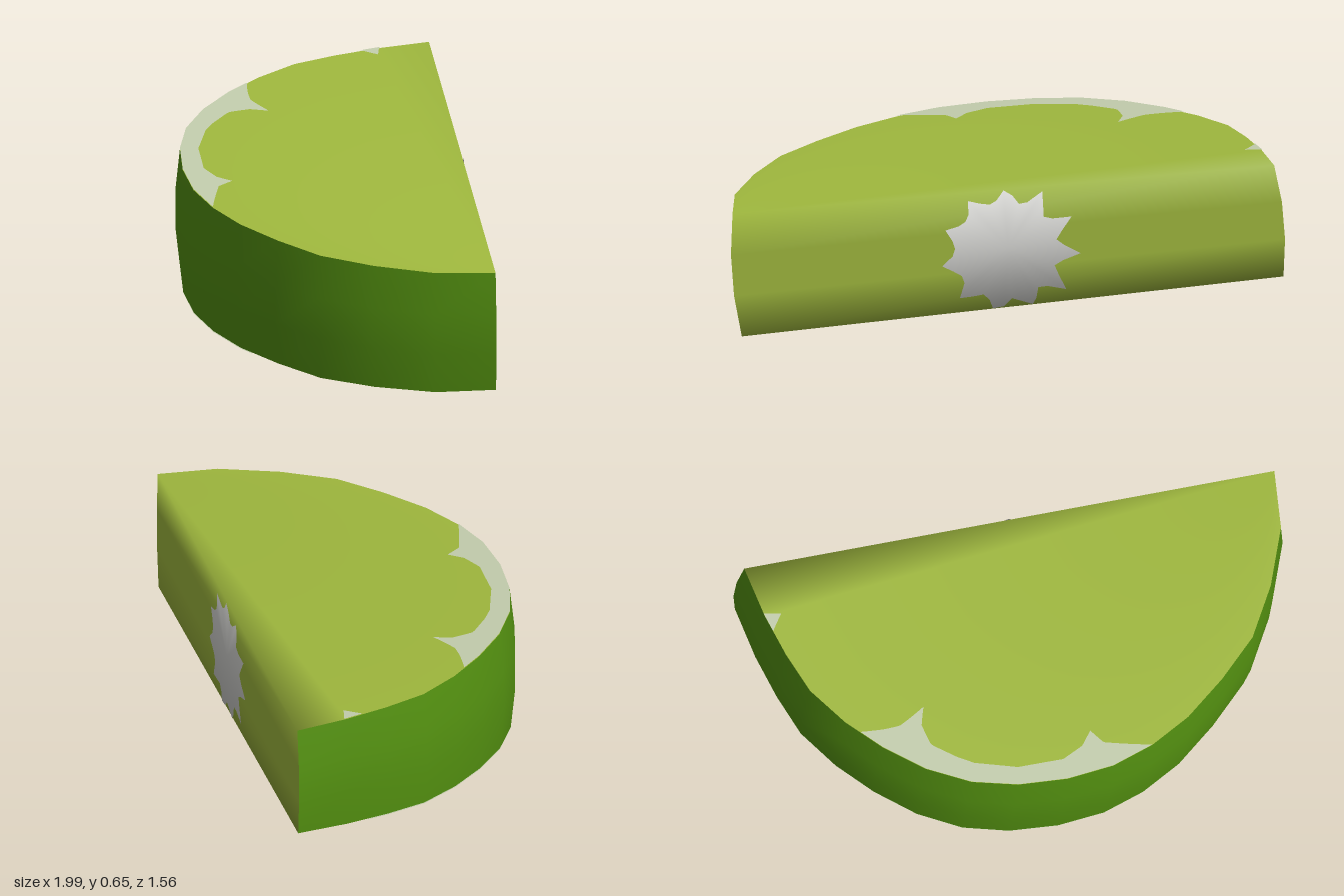
import * as THREE from 'three';

// Rim of the upper face, [x, z], from the back corner round to the right corner
const RIM = [
  [-0.835, -0.765], [-0.9, -0.57], [-0.94, -0.4], [-0.965, -0.23], [-0.945, -0.05], [-0.9, 0.12],
  [-0.83, 0.29], [-0.73, 0.44], [-0.6, 0.56], [-0.44, 0.66], [-0.27, 0.73], [-0.1, 0.76],
  [0.08, 0.76], [0.28, 0.725], [0.48, 0.67], [0.67, 0.555], [0.855, 0.4], [0.985, 0.21],
];
const LAST = RIM.length - 1, ROWS = 3;
const CENTRE = [0.08, -0.27];

// The two faces are tilted planes
const topY = (x, z) => 0.572 - 0.06 * x - 0.037 * z;
const bottomY = (x, z) => 0.088 - 0.06 * x - 0.085 * z;

// Point at rim position i, height fraction v (0 top, 1 bottom), moved inward by depth
function point(i, v, depth = 0) {
  const a = Math.min(Math.floor(i), LAST - 1), f = i - a;
  let x = THREE.MathUtils.lerp(RIM[a][0], RIM[a + 1][0], f);
  let z = THREE.MathUtils.lerp(RIM[a][1], RIM[a + 1][1], f);
  const dx = x - CENTRE[0], dz = z - CENTRE[1], r = Math.hypot(dx, dz);
  const out = 0.02 * 4 * v * (1 - v) - depth;
  x += (dx / r) * out - 0.028 * v;
  z += (dz / r) * out - 0.022 * v;
  return [x, THREE.MathUtils.lerp(topY(x, z), bottomY(x, z), v), z];
}

function geometry(positions, index) {
  const g = new THREE.BufferGeometry();
  g.setAttribute('position', new THREE.Float32BufferAttribute(positions, 3));
  g.setIndex(index);
  g.computeVertexNormals();
  return g;
}

// Scalloped strip lying on a face along the rim; profile holds [rim position, depth]
function pithBand(profile, top) {
  const positions = [], index = [];
  const from = profile[0][0], to = profile[profile.length - 1][0];
  const steps = Math.round((to - from) * 20);
  for (let s = 0; s <= steps; s++) {
    const i = from + ((to - from) * s) / steps;
    let k = 0;
    while (k < profile.length - 2 && profile[k + 1][0] < i) k++;
    const [i0, d0] = profile[k], [i1, d1] = profile[k + 1];
    const depth = THREE.MathUtils.mapLinear(i, i0, i1, d0, d1);
    for (const d of [0, depth]) {
      const p = point(i, top ? 0 : 1, d);
      p[1] += top ? 0.004 : -0.004;
      positions.push(...p);
    }
    if (s < steps) {
      const a = s * 2;
      if (top) index.push(a, a + 2, a + 3, a, a + 3, a + 1);
      else index.push(a, a + 3, a + 2, a, a + 1, a + 3);
    }
  }
  return geometry(positions, index);
}

// Jagged pale core in the middle of the cut face
function coreStar() {
  const b = point(0, 0.5), r = point(LAST, 0.5);
  const along = new THREE.Vector3(r[0] - b[0], 0, r[2] - b[2]).normalize();
  const normal = new THREE.Vector3(along.z, 0.06, -along.x).normalize();
  const e0 = point(0, 0), e1 = point(LAST, 0), e2 = point(0, 1), e3 = point(LAST, 1);
  const positions = [], normals = [], index = [];
  const add = (u, y) => {
    const t = 0.5 + u / 2.06;
    const hi = e0.map((c, k) => THREE.MathUtils.lerp(c, e1[k], t));
    const lo = e2.map((c, k) => THREE.MathUtils.lerp(c, e3[k], t));
    const v = THREE.MathUtils.clamp(0.5 - y / 0.475, 0.005, 0.995);
    hi.forEach((c, k) => positions.push(THREE.MathUtils.lerp(c, lo[k], v) + normal.getComponent(k) * 0.005));
    const n = normal.clone();
    n.y += 1.4 * (0.5 - v);
    normals.push(...n.normalize().toArray());
  };
  add(0, 0);
  const spikes = 11, count = spikes * 4;
  const radii = [0.265, 0.215, 0.195, 0.215];
  for (let k = 0; k < count; k++) {
    const a = (k / count) * Math.PI * 2 + Math.PI / 2;
    const rad = radii[k % 4] * (1 + 0.04 * Math.sin(k * 1.7));
    add(Math.cos(a) * rad, Math.sin(a) * rad - 0.01);
    index.push(0, 1 + ((k + 1) % count), 1 + k);
  }
  const g = geometry(positions, index);
  g.setAttribute('normal', new THREE.Float32BufferAttribute(normals, 3));
  return g;
}

export function createModel() {
  const group = new THREE.Group();
  group.name = 'citrusSlice';
  const material = (name, color) => {
    const m = new THREE.MeshStandardMaterial({ color, side: THREE.DoubleSide });
    m.name = name;
    return m;
  };
  const peelGreen = material('peelGreen', 0x539010);
  const fleshLime = material('fleshLime', 0xa0b93e);
  const pithCream = material('pithCream', 0xc4ceae);
  const coreWhite = material('coreWhite', 0xd2d2cf);
  const add = (name, g, m) => {
    const mesh = new THREE.Mesh(g, m);
    mesh.name = name;
    group.add(mesh);
  };

  // Grid of points shared by peel and flesh
  const grid = [];
  for (let r = 0; r <= ROWS; r++)
    for (let i = 0; i <= LAST; i++) grid.push(...point(i, r / ROWS));
  const id = (r, i) => r * (LAST + 1) + i;
  const quad = (list, r, a, b) => list.push(
    id(r + 1, a), id(r + 1, b), id(r, b), id(r + 1, a), id(r, b), id(r, a));

  // Peel: the bulging outer wall
  const peel = [];
  for (let r = 0; r < ROWS; r++)
    for (let i = 0; i < LAST; i++) quad(peel, r, i, i + 1);
  add('peel', geometry(grid, peel), peelGreen);

  // Flesh: both faces and the straight cut, softly shaded as one surface
  const flesh = [];
  for (let i = 0; i < LAST - 1; i++) flesh.push(id(0, LAST), id(0, i), id(0, i + 1));
  for (let i = 1; i < LAST; i++) flesh.push(id(ROWS, 0), id(ROWS, i + 1), id(ROWS, i));
  for (let r = 0; r < ROWS; r++) quad(flesh, r, LAST, 0);
  add('flesh', geometry(grid, flesh), fleshLime);

  // Pith along the rim of both faces
  add('upperPith', pithBand([
    [4.4, 0], [4.8, 0.06], [5.1, 0.11], [5.4, 0.22], [5.55, 0.15], [5.9, 0.1], [6.6, 0.08],
    [8, 0.07], [9, 0.08], [9.5, 0.11], [9.8, 0.16], [10, 0.1], [10.5, 0.05], [11, 0],
  ], true), pithCream);
  add('upperPithSpot', pithBand([[0.95, 0], [1.1, 0.06], [1.25, 0.03], [1.4, 0]], true), pithCream);
  add('lowerPith', pithBand([
    [1.5, 0], [2.5, 0.07], [3.5, 0.1], [4, 0.2], [4.3, 0.1], [5.5, 0.08], [6.5, 0.1], [7.3, 0.22],
    [7.8, 0.12], [9, 0.09], [10.5, 0.12], [11.3, 0.22], [11.7, 0.1], [12.3, 0],
  ], false), pithCream);

  // Core on the cut face
  add('core', coreStar(), coreWhite);
  return group;
}
